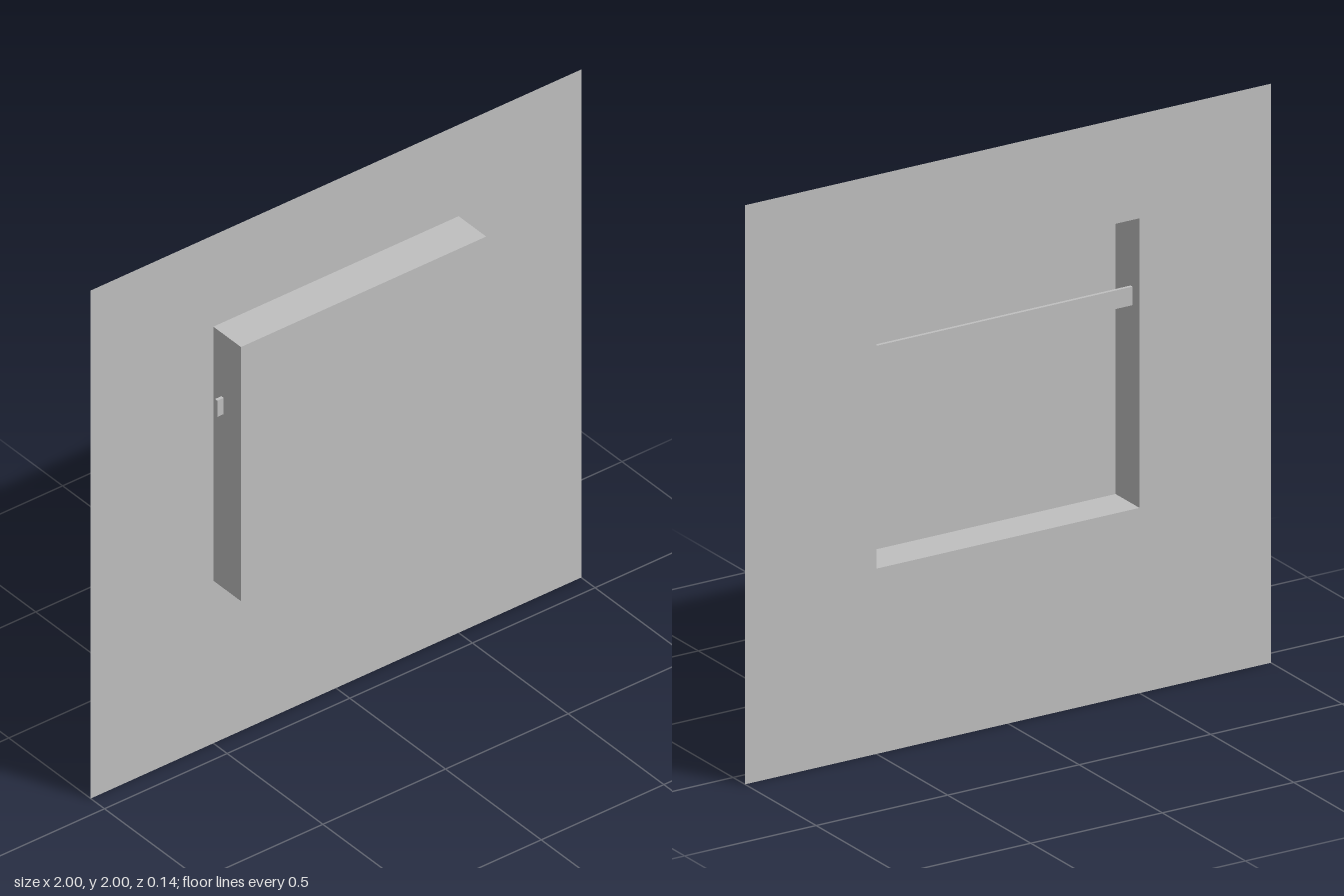
import * as THREE from 'three';

export function createModel() {
  const group = new THREE.Group();
  const grey = new THREE.MeshStandardMaterial({ color: 0xc0c0c0, side: THREE.DoubleSide });
  grey.name = 'light grey';

  const depth = 0.144, boxY = 1.14;

  const add = (name, geometry, x, y, z) => {
    const mesh = new THREE.Mesh(geometry, grey);
    mesh.name = name;
    mesh.position.set(x, y, z);
    group.add(mesh);
  };

  const square = (half, PathType) => new PathType([
    new THREE.Vector2(-half, -half), new THREE.Vector2(half, -half),
    new THREE.Vector2(half, half), new THREE.Vector2(-half, half),
  ]);

  // Thin wall sheet with a square opening
  const wall = square(1, THREE.Shape);
  const opening = square(0.5, THREE.Path);
  opening.curves.forEach((c) => { c.v1.y += boxY - 1; c.v2.y += boxY - 1; });
  wall.holes.push(opening);
  add('wallSheet', new THREE.ShapeGeometry(wall), 0, 1, -depth / 2);

  // Hollow niche box, open at the back (last box side dropped)
  const niche = new THREE.BoxGeometry(1, 1, depth);
  niche.setIndex(Array.from(niche.index.array).slice(0, 30));
  niche.clearGroups();
  add('nicheBox', niche, 0, boxY, 0);

  // Flat rail running through both side walls
  add('rail', new THREE.BoxGeometry(1.052, 0.064, 0.012), 0, 1.358, -0.024);

  return group;
}
